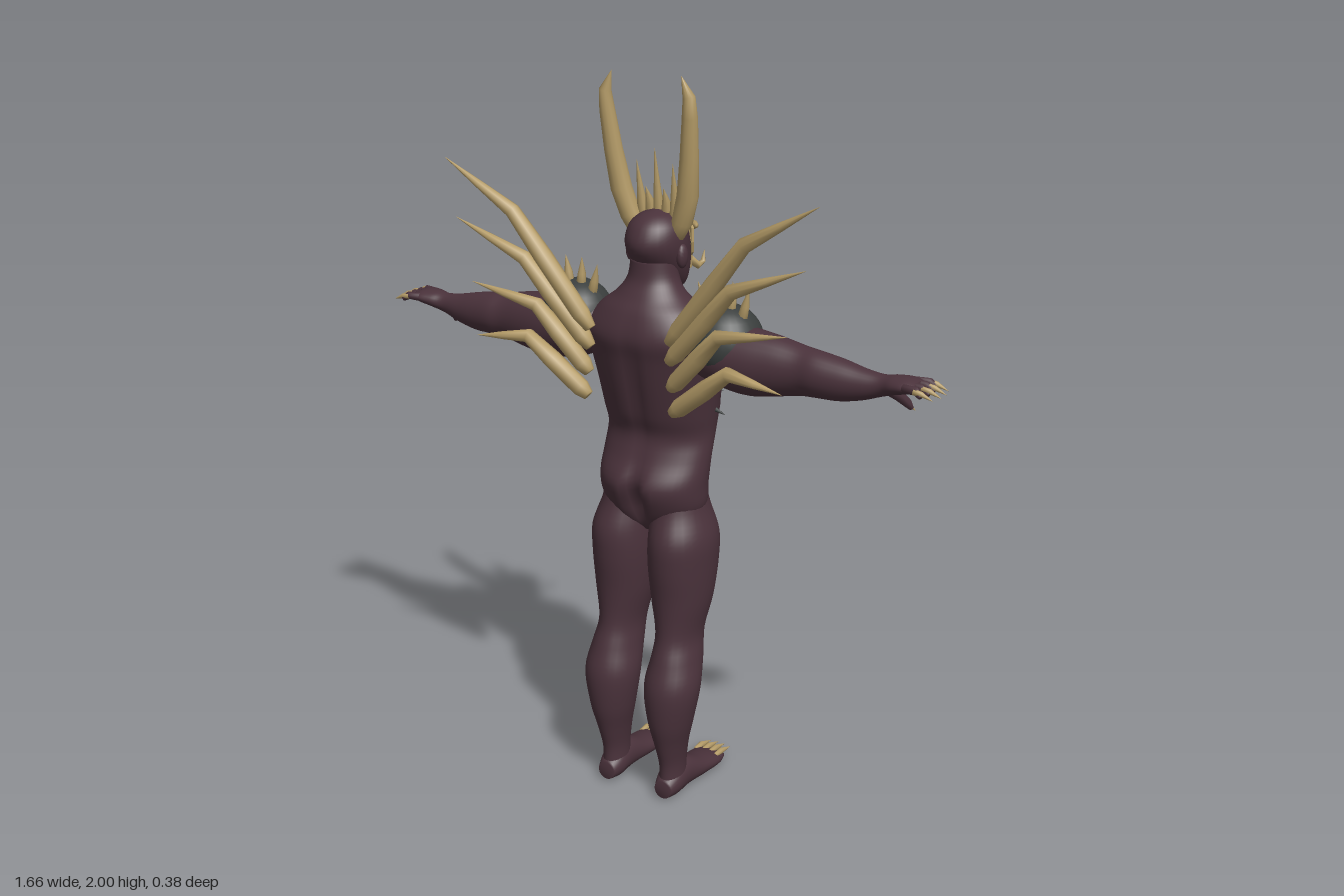
import * as THREE from 'three';

const V = (x, y, z) => new THREE.Vector3(x, y, z);

// Closed skin over a list of rings, capped at both ends
function skinRings(rings) {
  const n = rings[0].length, pos = [], idx = [];
  const centre = r => r.reduce((s, p) => s.add(p), V(0, 0, 0)).divideScalar(n);
  const rows = [Array(n).fill(centre(rings[0])), ...rings, Array(n).fill(centre(rings.at(-1)))];
  rows.forEach((row, i) => row.forEach((p, j) => {
    pos.push(p.x, p.y, p.z);
    if (i === rows.length - 1) return;
    const a = i * n + j, b = i * n + (j + 1) % n;
    idx.push(a, a + n, b, b, a + n, b + n);
  }));
  const g = new THREE.BufferGeometry();
  g.setAttribute('position', new THREE.Float32BufferAttribute(pos, 3));
  g.setIndex(idx);
  g.computeVertexNormals();
  return g;
}

// Smooth loft through elliptical sections [t, u, v, ru, rv] along one axis
const AXES = {
  y: (t, u, v) => V(u, t, v),
  x: (t, u, v) => V(t, v, u),
  z: (t, u, v) => V(v, u, t),
};
function loft(axis, secs, sides = 28, deform = p => p) {
  const rings = [], steps = 5, last = secs.length - 1;
  for (let k = 0; k <= last * steps; k++) {
    const i = Math.min(Math.floor(k / steps), last - 1), f = k / steps - i;
    const [a, b, c, d] = [secs[Math.max(i - 1, 0)], secs[i], secs[i + 1], secs[Math.min(i + 2, last)]];
    const [t, u, v, ru, rv] = b.map((q, m) => q + 0.5 * f * (c[m] - a[m]
      + f * (2 * a[m] - 5 * q + 4 * c[m] - d[m] + f * (3 * (q - c[m]) + d[m] - a[m]))));
    rings.push(Array.from({ length: sides }, (_, j) => {
      const w = j / sides * Math.PI * 2;
      return deform(AXES[axis](t, u + ru * Math.cos(w), v + rv * Math.sin(w)));
    }));
  }
  return skinRings(rings);
}

// Tapered horn through points [x, y, z, radius]
function horn(pts, ref = V(0, 0, 1), sides = 8) {
  const P = pts.map(p => V(p[0], p[1], p[2]));
  return skinRings(P.map((p, i) => {
    const t = P[Math.min(i + 1, P.length - 1)].clone().sub(P[Math.max(i - 1, 0)]).normalize();
    const s = t.clone().cross(ref).normalize(), u = s.clone().cross(t);
    return Array.from({ length: sides }, (_, j) => {
      const w = j / sides * Math.PI * 2;
      return p.clone().addScaledVector(s, pts[i][3] * Math.cos(w)).addScaledVector(u, pts[i][3] * Math.sin(w));
    });
  }));
}

function mirrored(geo) {
  const g = geo.clone(), ix = g.index.array;
  g.scale(-1, 1, 1);
  for (let i = 0; i < ix.length; i += 3) [ix[i], ix[i + 1]] = [ix[i + 1], ix[i]];
  g.computeVertexNormals();
  return g;
}

export function createModel() {
  const root = new THREE.Group();
  root.name = 'hornedFigure';
  const mat = (name, color) => Object.assign(new THREE.MeshStandardMaterial({ color }), { name });
  const skin = mat('darkPlumSkin', 0x4a323b), bone = mat('boneGold', 0xb59c68), plate = mat('charcoalPlate', 0x3a3e3d);
  const add = (name, geo, m) => {
    const mesh = new THREE.Mesh(geo, m);
    mesh.name = name;
    root.add(mesh);
    return mesh;
  };
  const pair = (name, geo, m) => { add(name + 'Left', geo, m); add(name + 'Right', mirrored(geo), m); };
  const bell = (q, c, w) => Math.exp(-(((q - c) / w) ** 2));

  // Torso and neck, with spine groove, buttock cleft and chest muscles
  add('torso', loft('y', [
    [0.78, 0, 0.02, 0.04, 0.05], [0.81, 0, 0.02, 0.10, 0.08], [0.86, 0, 0.025, 0.148, 0.105],
    [0.93, 0, 0.031, 0.155, 0.121], [1.0, 0, 0.012, 0.157, 0.102], [1.06, 0, -0.007, 0.157, 0.103],
    [1.12, 0, -0.005, 0.165, 0.12], [1.2, 0, 0, 0.178, 0.135], [1.28, 0, 0.008, 0.195, 0.143],
    [1.34, 0, 0.027, 0.2, 0.135], [1.4, 0, 0.037, 0.15, 0.107], [1.44, 0, 0.04, 0.098, 0.078],
    [1.48, 0, 0.033, 0.07, 0.062], [1.53, 0, 0.03, 0.062, 0.058],
  ], 48, p => {
    if (p.z > 0.05) p.z -= bell(p.x, 0, 0.022) * (0.045 * bell(p.y, 0.88, 0.08) + 0.015 * bell(p.y, 1.2, 0.15));
    if (p.z < -0.03) {
      p.z -= 0.012 * bell(Math.abs(p.x), 0.08, 0.05) * bell(p.y, 1.25, 0.05);
      p.z += 0.008 * bell(p.x, 0, 0.015) * bell(p.y, 1.2, 0.12);
      p.z += 0.006 * bell(p.y, 1.165, 0.015);
    }
    return p;
  }), skin);

  // Head, facing -z, with ears and nose
  add('head', loft('y', [
    [1.435, 0, -0.045, 0.025, 0.02], [1.455, 0, -0.035, 0.05, 0.042], [1.5, 0, -0.013, 0.068, 0.077],
    [1.56, 0, 0.012, 0.078, 0.097], [1.61, 0, 0.016, 0.072, 0.083], [1.64, 0, 0.016, 0.045, 0.052],
    [1.653, 0, 0.016, 0.008, 0.01],
  ]), skin);
  const ear = new THREE.SphereGeometry(1, 12, 10);
  ear.scale(0.014, 0.032, 0.02).translate(0.077, 1.54, 0.018);
  pair('ear', ear, skin);

  // Limbs
  pair('arm', loft('x', [
    [0.13, 0.05, 1.33, 0.06, 0.06], [0.2, 0.053, 1.325, 0.085, 0.085], [0.3, 0.057, 1.31, 0.078, 0.088],
    [0.38, 0.057, 1.31, 0.065, 0.078], [0.45, 0.055, 1.31, 0.055, 0.064], [0.5, 0.06, 1.31, 0.052, 0.059],
    [0.56, 0.058, 1.306, 0.047, 0.053], [0.62, 0.058, 1.306, 0.036, 0.04], [0.67, 0.058, 1.312, 0.028, 0.028],
    [0.705, 0.058, 1.32, 0.039, 0.024], [0.74, 0.058, 1.325, 0.046, 0.019], [0.765, 0.058, 1.325, 0.038, 0.012],
  ]), skin);
  pair('leg', loft('y', [
    [0.03, 0.095, 0.085, 0.036, 0.05], [0.1, 0.095, 0.083, 0.033, 0.05], [0.17, 0.095, 0.09, 0.043, 0.06],
    [0.25, 0.096, 0.097, 0.062, 0.073], [0.35, 0.098, 0.092, 0.077, 0.083], [0.43, 0.097, 0.066, 0.067, 0.085],
    [0.5, 0.093, 0.045, 0.06, 0.085], [0.6, 0.091, 0.03, 0.08, 0.1], [0.7, 0.09, 0.025, 0.089, 0.115],
    [0.78, 0.09, 0.024, 0.088, 0.115], [0.86, 0.08, 0.02, 0.073, 0.09], [0.95, 0.075, 0.025, 0.06, 0.07],
  ]), skin);
  pair('foot', loft('z', [
    [-0.135, 0.02, 0.095, 0.014, 0.034], [-0.1, 0.026, 0.096, 0.022, 0.048], [-0.03, 0.036, 0.097, 0.032, 0.045],
    [0.04, 0.05, 0.096, 0.046, 0.038], [0.1, 0.046, 0.095, 0.043, 0.038], [0.138, 0.035, 0.095, 0.026, 0.026],
  ]), skin);

  // Fingers, toes and their claws
  const up = V(0, 1, 0);
  for (let i = 0; i < 4; i++) {
    const k = i - 1.5, z = 0.058 + k * 0.023, zt = 0.06 + k * 0.03, reach = 0.803 - Math.abs(k) * 0.008;
    pair('finger' + i, horn([[0.74, 1.326, z, 0.012], [0.775, 1.328, (z + zt) / 2, 0.011], [reach, 1.318, zt, 0.008]]), skin);
    pair('fingerClaw' + i, horn([[reach - 0.02, 1.327, zt, 0.008], [reach, 1.325, zt, 0.007], [reach + 0.03, 1.313, zt, 0.0005]]), bone);
    const x = 0.095 + k * 0.022, f = 0.006 * Math.abs(k);
    pair('toe' + i, horn([[x, 0.025, -0.09, 0.014], [x, 0.025, -0.13 + f, 0.012], [x, 0.022, -0.145 + f, 0.006]], up), skin);
    pair('toeClaw' + i, horn([[x, 0.04, -0.095, 0.007], [x, 0.04, -0.135 + f, 0.009], [x, 0.027, -0.188 + f, 0.0005]], up), bone);
  }
  pair('thumb', horn([[0.665, 1.305, 0.04, 0.016], [0.69, 1.275, 0.005, 0.014], [0.705, 1.25, -0.018, 0.011], [0.712, 1.237, -0.025, 0.006]]), skin);
  pair('thumbClaw', horn([[0.705, 1.25, -0.018, 0.007], [0.718, 1.23, -0.034, 0.0005]]), bone);

  // Shoulder guards with a row of spikes
  const guard = new THREE.SphereGeometry(0.098, 28, 18);
  guard.translate(0.228, 1.348, 0.05);
  pair('shoulderGuard', guard, plate);
  [0.175, 0.21, 0.247, 0.28].forEach((x, i) => {
    const y = 1.348 + Math.sqrt(0.098 ** 2 - (x - 0.228) ** 2), lean = (x - 0.228) * 0.4;
    pair('shoulderSpike' + i, horn([[x, y - 0.015, 0.06, 0.014], [x + lean * 0.4, y + 0.02, 0.06, 0.011], [x + lean, y + 0.065, 0.065, 0.0005]]), bone);
  });

  // Bent back spines: base, elbow and tip, each [x, y]
  [
    [[0.12, 1.35], [0.345, 1.635], [0.55, 1.755]],
    [[0.12, 1.30], [0.31, 1.515], [0.52, 1.60]],
    [[0.125, 1.23], [0.275, 1.395], [0.475, 1.432]],
    [[0.13, 1.165], [0.305, 1.305], [0.465, 1.285]],
  ].forEach(([b, e, t], i) => {
    const at = (p, q, f) => [p[0] + (q[0] - p[0]) * f, p[1] + (q[1] - p[1]) * f];
    pair('backSpine' + i, horn([
      [...b, 0.148, 0.015], [...at(b, e, 0.12), 0.15, 0.024], [...at(b, e, 0.6), 0.16, 0.025],
      [...e, 0.17, 0.02], [...at(e, t, 0.5), 0.178, 0.011], [...t, 0.185, 0.0005],
    ]), bone);
  });

  // Great horns and crown spikes
  pair('greatHorn', horn([
    [0.06, 1.59, 0.018, 0.02], [0.078, 1.63, 0.02, 0.027], [0.1, 1.7, 0.03, 0.028], [0.113, 1.8, 0.045, 0.024],
    [0.122, 1.9, 0.058, 0.02], [0.123, 1.95, 0.064, 0.016], [0.102, 2.0, 0.066, 0.0005],
  ], V(0, 0, 1), 12), bone);
  [[-0.05, 1.775], [-0.025, 1.71], [0, 1.81], [0.025, 1.71], [0.05, 1.775]].forEach(([x, y], i) =>
    add('crownSpike' + i, horn([[x * 0.9, 1.61, 0.005, 0.014], [x, 1.665, 0.01, 0.013], [x * 1.08, y, 0.028, 0.0005]]), bone));

  // Face mask with eye holes, curved round the face
  const outline = [[0, 1.6], [0.03, 1.605], [0.06, 1.595], [0.065, 1.56], [0.058, 1.53], [0.04, 1.515], [0.036, 1.48], [0.015, 1.47], [0, 1.475]];
  const shape = new THREE.Shape([...outline, ...outline.slice(1, -1).reverse().map(([x, y]) => [-x, y])].map(p => new THREE.Vector2(...p)));
  const bend = (g, base) => {
    const p = g.attributes.position;
    for (let i = 0; i < p.count; i++) p.setZ(i, p.getZ(i) + base + 13 * p.getX(i) ** 2);
    g.computeVertexNormals();
    return g;
  };
  for (const s of [-1, 1]) {
    shape.holes.push(new THREE.Path().absellipse(s * 0.032, 1.56, 0.017, 0.013, 0, Math.PI * 2));
    const eye = new THREE.CylinderGeometry(0.021, 0.021, 0.008, 16);
    eye.rotateX(Math.PI / 2).translate(s * 0.032, 1.56, 0);
    add(s > 0 ? 'eyeSocketLeft' : 'eyeSocketRight', bend(eye, -0.096), plate);
  }
  add('faceMask', bend(new THREE.ExtrudeGeometry(shape, { depth: 0.012, bevelEnabled: false, curveSegments: 12 }), -0.113), bone);
  add('maskNose', horn([[0, 1.585, -0.108, 0.008], [0, 1.55, -0.118, 0.011], [0, 1.525, -0.122, 0.006]], V(1, 0, 0)), bone);
  pair('maskTusk', horn([[0.028, 1.5, -0.1, 0.012], [0.038, 1.48, -0.125, 0.01], [0.044, 1.49, -0.14, 0.007], [0.046, 1.52, -0.143, 0.0005]], V(1, 0, 0)), bone);
  pair('maskBrow', horn([[0.008, 1.585, -0.112, 0.009], [0.035, 1.592, -0.107, 0.012], [0.065, 1.6, -0.07, 0.006]], up), bone);

  // Small rib barbs
  [[1.13, -0.01], [1.2, 0]].forEach(([y, z], i) =>
    pair('ribBarb' + i, horn([[0.15, y + 0.01, z, 0.01], [0.193, y - 0.005, z, 0.0005]]), plate));

  return root;
}
